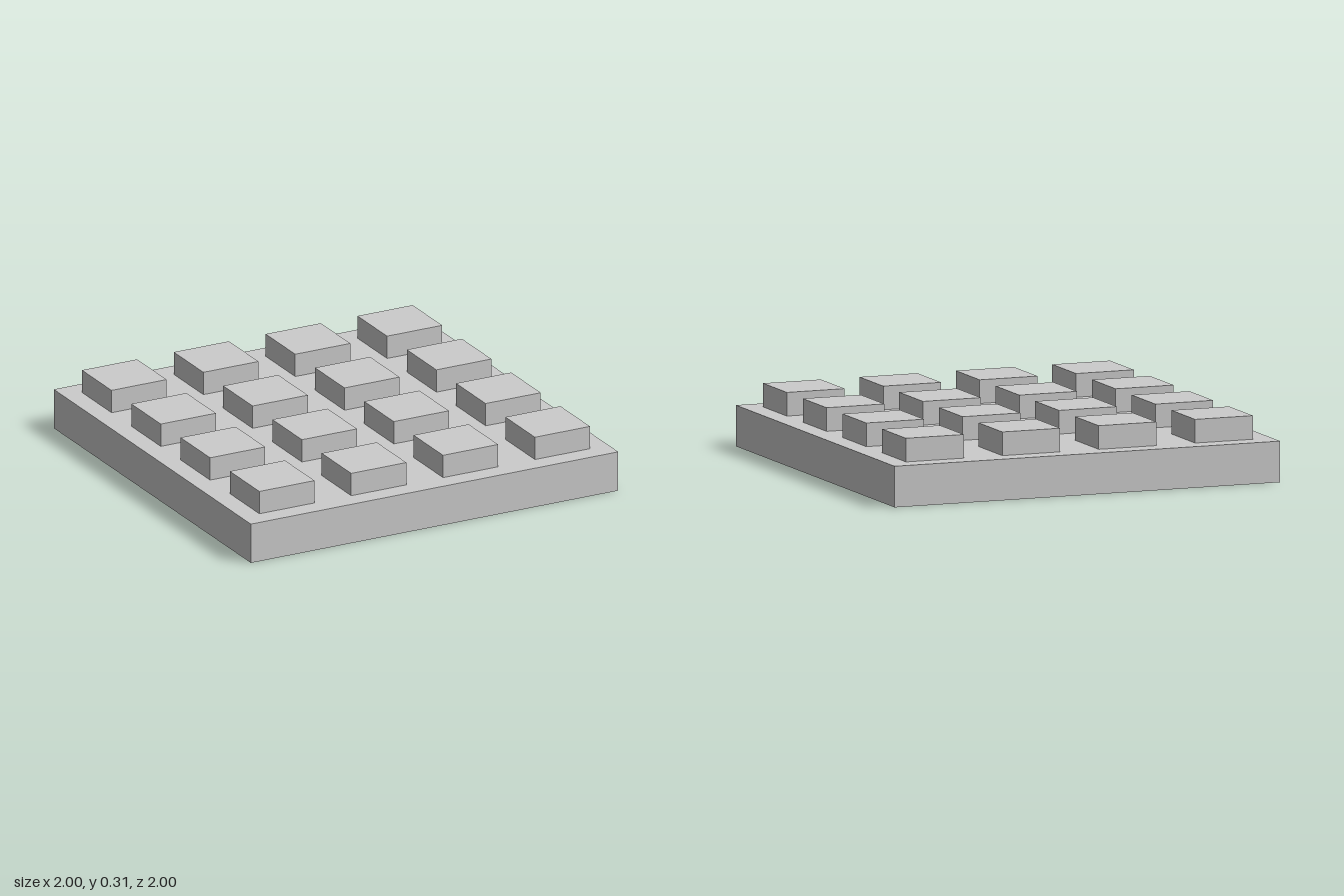
import * as THREE from 'three';

const PLATE_HEIGHT = 0.2;
const STUD_HEIGHT = 0.115;
const STUD_WIDTH = 0.3;
const PITCH = 0.5;
const COUNT = 4;

export function createModel() {
  const model = new THREE.Group();
  model.name = 'studdedPlate';
  const material = new THREE.MeshStandardMaterial({ color: 0xcccccc });

  // Square base plate
  const plate = new THREE.Mesh(new THREE.BoxGeometry(2, PLATE_HEIGHT, 2), material);
  plate.name = 'basePlate';
  plate.position.y = PLATE_HEIGHT / 2;
  model.add(plate);

  // Even grid of raised square studs
  const studs = new THREE.Group();
  studs.name = 'studs';
  const studGeometry = new THREE.BoxGeometry(STUD_WIDTH, STUD_HEIGHT, STUD_WIDTH);
  const place = (i) => (i - (COUNT - 1) / 2) * PITCH;
  for (let row = 0; row < COUNT; row++) {
    for (let column = 0; column < COUNT; column++) {
      const stud = new THREE.Mesh(studGeometry, material);
      stud.name = `stud_${row + 1}_${column + 1}`;
      stud.position.set(place(column), PLATE_HEIGHT + STUD_HEIGHT / 2, place(row));
      studs.add(stud);
    }
  }
  model.add(studs);

  return model;
}
